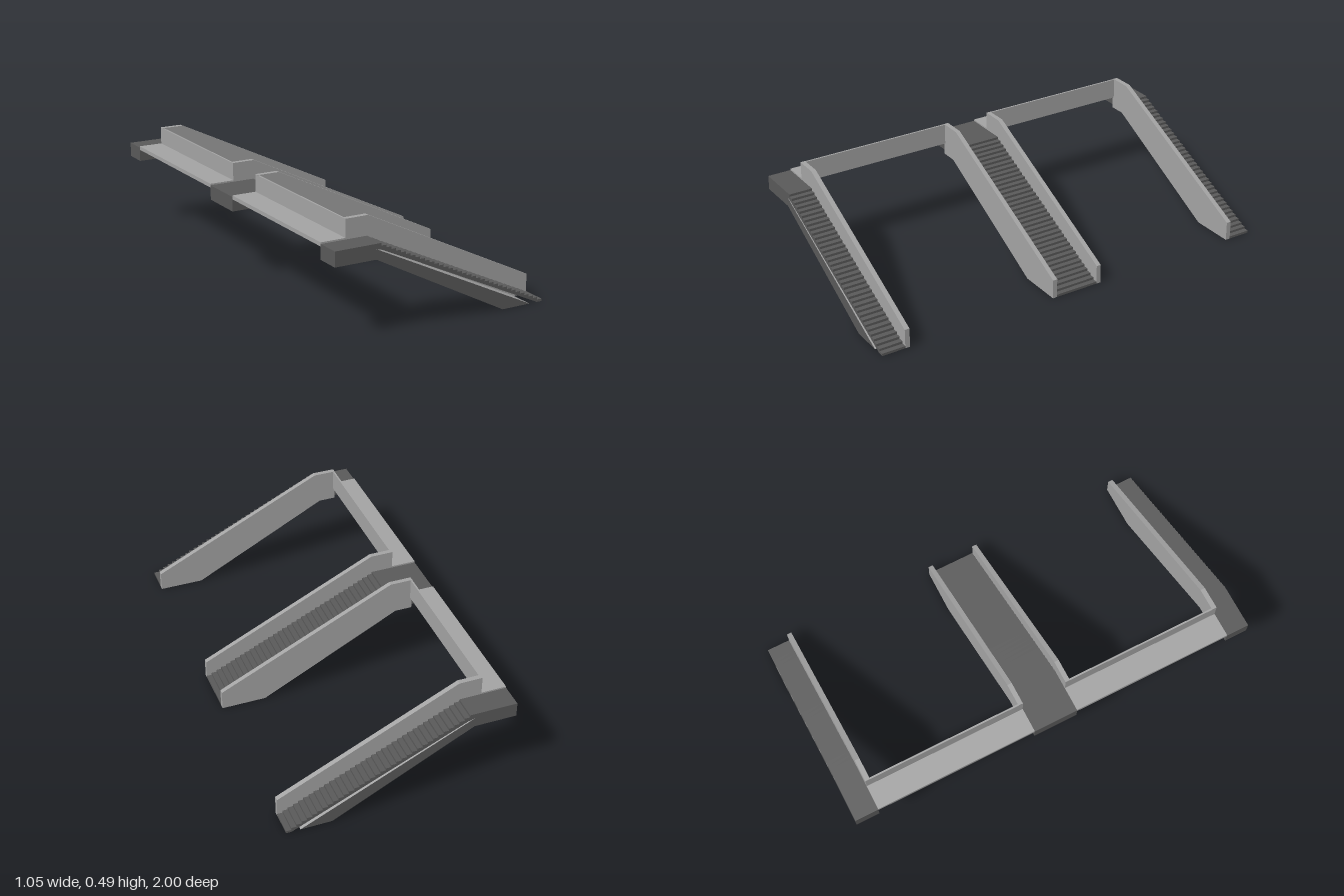
import * as THREE from 'three';

const STEPS = 36, X_TOP = -0.306, X_END = 0.527, X_BACK = -0.527;
const Y_LAND = 0.405, Y_UNDER = 0.337;

const concrete = new THREE.MeshStandardMaterial({ color: 0x595959 });
concrete.name = 'dark stair grey';
const panel = new THREE.MeshStandardMaterial({ color: 0xa3a3a3 });
panel.name = 'light panel grey';

// Extrudes an x-y outline between two z positions
function slab(name, points, z0, z1, material) {
  const shape = new THREE.Shape(points.map(([x, y]) => new THREE.Vector2(x, y)));
  const geometry = new THREE.ExtrudeGeometry(shape, { depth: z1 - z0, bevelEnabled: false });
  geometry.translate(0, 0, z0);
  const mesh = new THREE.Mesh(geometry, material);
  mesh.name = name;
  return mesh;
}

function box(name, x0, x1, y0, y1, z0, z1, material) {
  const mesh = new THREE.Mesh(new THREE.BoxGeometry(x1 - x0, y1 - y0, z1 - z0), material);
  mesh.position.set((x0 + x1) / 2, (y0 + y1) / 2, (z0 + z1) / 2);
  mesh.name = name;
  return mesh;
}

// Side outline, anticlockwise: landing end, soffit, open slot, then the steps from the foot up
function stairOutline() {
  const rise = Y_LAND / STEPS, run = (X_END - X_TOP) / (STEPS - 1);
  const points = [
    [X_BACK, Y_LAND], [X_BACK, Y_UNDER], [-0.33, Y_UNDER], [0.318, 0], [0.462, 0],
    [-0.33, 0.382], [-0.3, 0.374], [0.502, 0],
  ];
  for (let i = STEPS - 1; i >= 0; i--) {
    const x = X_TOP + i * run, y = Y_LAND - i * rise;
    points.push([x, Math.max(0, y - rise)], [x, y]);
  }
  return points;
}

// A flight whose soffit faces (the four outline edges after the landing end) are light
function flight(name, z0, z1) {
  const mesh = slab(name, stairOutline(), z0, z1, [concrete, panel]);
  const geometry = mesh.geometry, count = geometry.attributes.position.count;
  // Wall quads follow the outline in order, six corners each
  const soffit = geometry.groups[1].start + 6;
  geometry.clearGroups();
  geometry.addGroup(0, soffit, 0);
  geometry.addGroup(soffit, 24, 1);
  geometry.addGroup(soffit + 24, count - soffit - 24, 0);
  return mesh;
}

const RAIL = [
  [-0.41, Y_UNDER], [-0.33, Y_UNDER], [0.318, 0], [X_END, 0],
  [X_END, 0.092], [-0.302, 0.494], [-0.41, 0.494],
];

export function createModel() {
  const model = new THREE.Group();
  model.name = 'tripleStaircase';

  // Three flights of stairs
  model.add(flight('middleFlight', -0.108, 0.108));
  model.add(flight('frontFlight', 0.888, 1));
  model.add(flight('backFlight', -1, -0.888));

  // Solid side panels and the walkways joining the landings
  for (const [side, s] of [['front', 1], ['back', -1]]) {
    const span = (a, b) => (s > 0 ? [a, b] : [-b, -a]);
    model.add(slab(side + 'InnerSidePanel', RAIL, ...span(0.108, 0.13), panel));
    model.add(slab(side + 'OuterSidePanel', RAIL, ...span(0.865, 0.888), panel));
    model.add(box(side + 'WalkwayFloor', X_BACK, -0.41, 0.394, 0.412, ...span(0.108, 0.888), panel));
    model.add(box(side + 'WalkwayRail', -0.41, -0.402, 0.394, 0.493, ...span(0.13, 0.865), panel));
  }
  return model;
}
